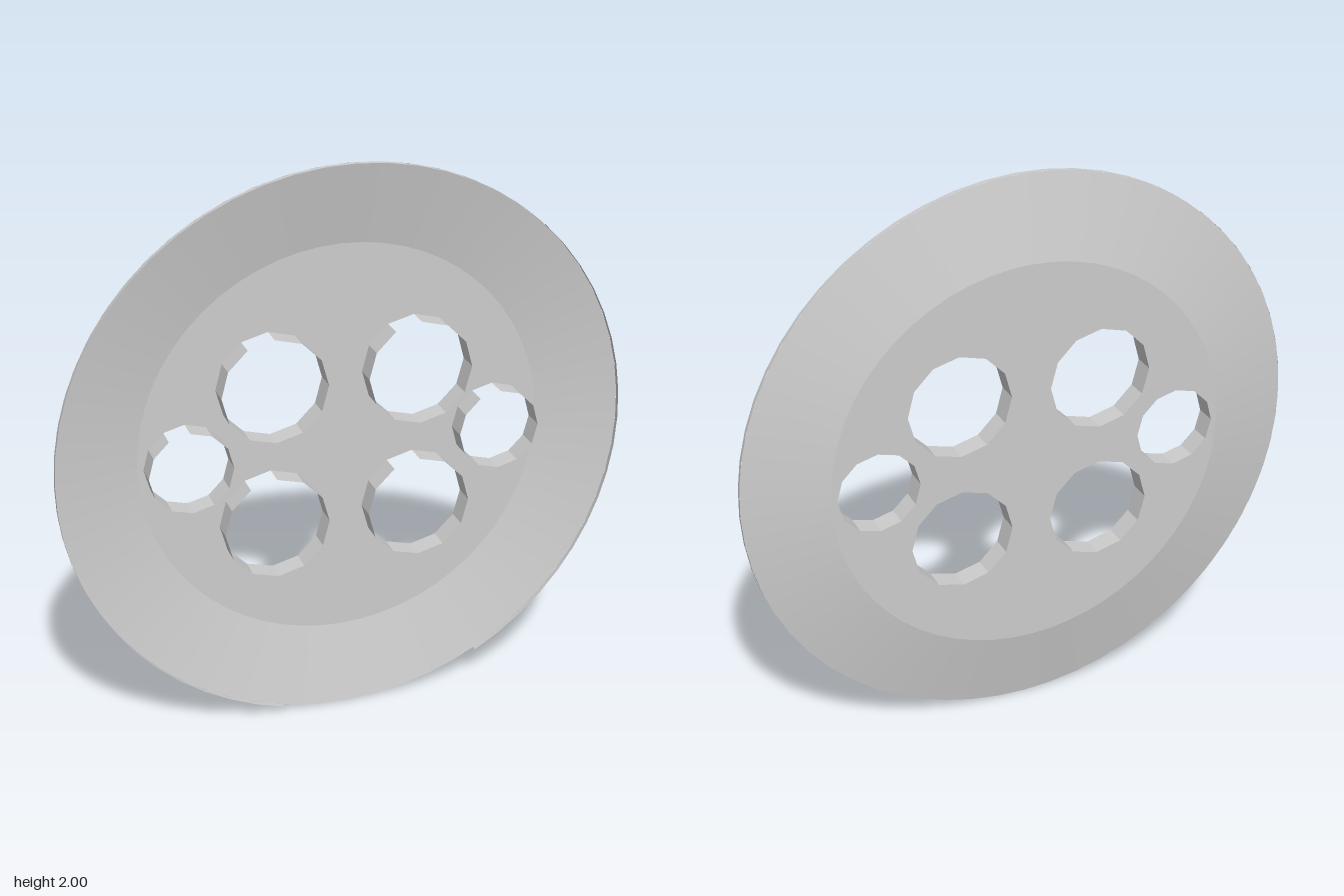
import * as THREE from 'three';

const DEG = Math.PI / 180;
const BACK = -0.037, RIM = 0.023, FRONT = 0.04; // depths along z
const R_FLAT = 0.713, R_RIM = 1;

// Hole centres relative to the disc centre, with radius
const HOLES = [];
for (const sx of [-1, 1]) {
  HOLES.push([sx * 0.547, 0, 0.145]);
  for (const sy of [-1, 1]) HOLES.push([sx * 0.255, sy * 0.252, 0.184]);
}

// Open wall around the z axis, angles counted from +x towards +y
function wall(rBack, rFront, zBack, zFront, sides, startDeg = 0, sweepDeg = 360) {
  const g = new THREE.CylinderGeometry(rFront, rBack, zFront - zBack, sides, 1, true,
    (startDeg + 90) * DEG, sweepDeg * DEG);
  g.rotateX(Math.PI / 2);
  g.translate(0, 0, (zBack + zFront) / 2);
  return g;
}

function polygon(cx, cy, r, sides) {
  return Array.from({ length: sides }, (_, i) => {
    const a = (i / sides) * Math.PI * 2;
    return new THREE.Vector2(cx + r * Math.cos(a), cy + r * Math.sin(a));
  });
}

export function createModel() {
  const model = new THREE.Group();
  model.name = 'dishedDisc';
  const smooth = new THREE.MeshStandardMaterial({ color: 0xcccccc, side: THREE.DoubleSide });
  const flat = new THREE.MeshStandardMaterial({ color: 0xcccccc, side: THREE.DoubleSide, flatShading: true });

  function add(name, geometry, material, x = 0, y = 0) {
    const mesh = new THREE.Mesh(geometry, material);
    mesh.name = name;
    mesh.position.set(x, y + 1, 0);
    model.add(mesh);
  }

  // Flat centre pierced by six holes
  const shape = new THREE.Shape(polygon(0, 0, R_FLAT, 60));
  for (const [x, y, r] of HOLES) shape.holes.push(new THREE.Path(polygon(x, y, r, 12)));
  const plate = new THREE.ShapeGeometry(shape);
  plate.translate(0, 0, BACK);
  add('centrePlate', plate, smooth);

  // Sloping ring rising forward to the rim
  add('slopedRing', wall(R_FLAT, R_RIM, BACK, RIM, 60), smooth);

  // Thin lip around the rim, open near the bottom
  add('rimLip', wall(R_RIM, R_RIM, RIM, FRONT, 53, 299, 317), smooth);

  // Hole walls reaching forward, each with one open facet at the top
  for (const [x, y, r] of HOLES) add('holeWall', wall(r, r, BACK, FRONT, 11, 120, 330), flat, x, y);

  return model;
}
